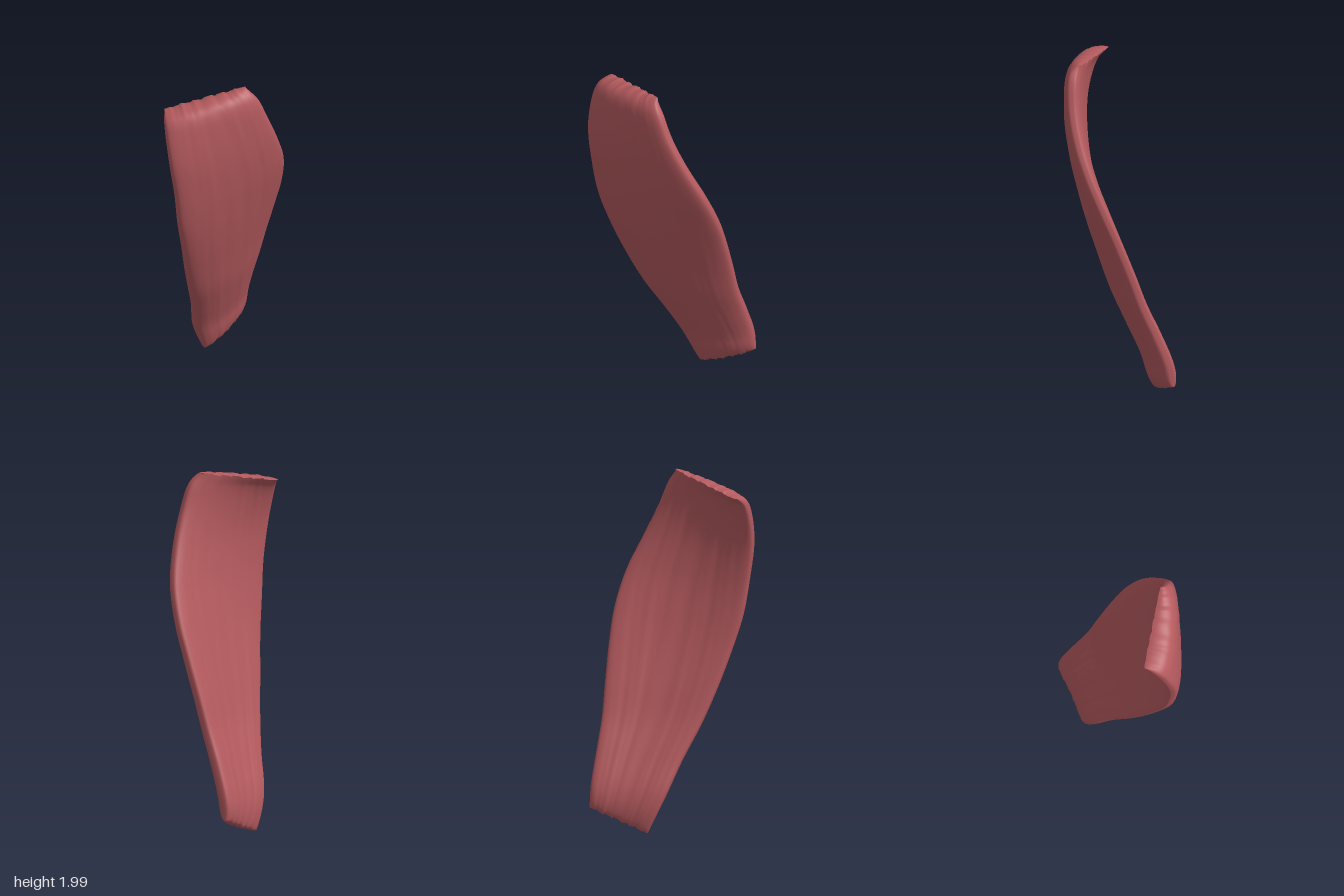
import * as THREE from 'three';

// Front and back edges of the strap, listed from the lower to the upper end
const frontEdge = [
  [-0.25, 0.0, -0.11], [-0.226, 0.2, -0.015], [-0.152, 0.4, 0.07], [-0.08, 0.6, 0.168],
  [-0.027, 0.8, 0.25], [0.018, 1.0, 0.32], [0.046, 1.2, 0.38], [0.056, 1.4, 0.413],
  [0.04, 1.62, 0.44], [0.0, 1.78, 0.432], [-0.033, 1.86, 0.412], [-0.063, 1.905, 0.38],
];
const backEdge = [
  [-0.268, 0.14, -0.435], [-0.245, 0.27, -0.43], [-0.18, 0.45, -0.41], [-0.108, 0.62, -0.392],
  [-0.046, 0.8, -0.385], [0.035, 1.02, -0.375], [0.105, 1.2, -0.357], [0.178, 1.4, -0.302],
  [0.225, 1.6, -0.207], [0.238, 1.78, -0.12], [0.225, 1.92, -0.06], [0.195, 2.0, 0.0],
];
const toCurve = (pts) => new THREE.CatmullRomCurve3(pts.map((p) => new THREE.Vector3(...p)));

// Shallow lengthwise fibres that drift across the faces
function fibre(u, t, inner) {
  const w = u + 0.12 * Math.sin(3 * t + 1);
  const a = Math.sin(17 * w + 4 * t) * 0.45 + Math.sin(37 * w - 5 * t + 1) * 0.35;
  return a * (inner ? 0.005 : 0.0022) * (1 - u * u);
}

function strapGeometry() {
  const front = toCurve(frontEdge), back = toCurve(backEdge);
  const rows = 90, sides = 112;
  const pos = [], idx = [];
  const mid = (t) => front.getPoint(t).add(back.getPoint(t)).multiplyScalar(0.5);

  for (let i = 0; i <= rows; i++) {
    // Rows crowd towards both ends, where the strap thins out
    const t = 0.5 - 0.5 * Math.cos((Math.PI * i) / rows);
    const c = mid(t);
    const half = back.getPoint(t).sub(c);
    const along = mid(Math.min(1, t + 0.01)).sub(mid(Math.max(0, t - 0.01))).normalize();
    const normal = half.clone().cross(along).normalize();
    const end = Math.min(1, Math.min(t / 0.07, (1 - t) / 0.14));
    const least = t > 0.5 ? 0.12 : 0.28;
    const thin = least + (1 - least) * Math.sqrt(end * (2 - end));
    const bow = 0.025 * Math.sin(Math.PI * Math.min(1, 0.12 + t * 0.88));
    // The outer face curls over towards the inner one at the upper end
    const curl = t > 0.5 ? 0.042 * (1 - thin) : 0;

    for (let j = 0; j < sides; j++) {
      const a = (j / sides) * Math.PI * 2;
      const s = Math.sin(a), k = Math.cos(a);
      const u = Math.sign(k) * Math.pow(Math.abs(k), 0.8);
      const side = Math.sign(s) * Math.pow(Math.abs(s), s > 0 ? 0.65 : 0.55);
      // The outer face is full, the inner one hollow between its rounded rims
      const swell = 0.012 * thin * (s > 0 ? 1 - u * u : Math.pow(1 - u * u, 2));
      const off = side * 0.054 * thin + bow * (1 - u * u) + swell - curl
        + fibre(u, t, s < 0) * Math.abs(s) * (0.4 + 0.6 * thin);
      const p = c.clone().addScaledVector(half, u).addScaledVector(normal, off);
      // Uneven torn edge at both ends
      const ragged = 0.005 * (Math.sin(u * 19) + 0.7 * Math.sin(u * 43 + 1) + 0.5 * Math.sin(u * 9)) * (1 - u * u);
      p.addScaledVector(along, ragged * (1 - end));
      pos.push(p.x, p.y, p.z);
    }
  }
  for (let i = 0; i < rows; i++) {
    for (let j = 0; j < sides; j++) {
      const k = (j + 1) % sides;
      const a = i * sides + j, b = i * sides + k;
      const d = a + sides, e = b + sides;
      idx.push(a, d, b, b, d, e);
    }
  }
  // Close the narrow ends by joining the inner face to the outer face
  const last = rows * sides;
  for (let j = 0; j < sides / 2; j++) {
    const a = j, b = j + 1, c = (sides - j) % sides, d = sides - j - 1;
    idx.push(a, b, d);
    idx.push(last + a, last + d, last + b);
    if (j > 0) {
      idx.push(a, d, c);
      idx.push(last + a, last + c, last + d);
    }
  }
  const g = new THREE.BufferGeometry();
  g.setAttribute('position', new THREE.Float32BufferAttribute(pos, 3));
  g.setIndex(idx);
  g.computeVertexNormals();
  return g;
}

export function createModel() {
  const group = new THREE.Group();
  group.name = 'muscle';
  const muscleRed = new THREE.MeshStandardMaterial({ color: 0xb45a5e });
  muscleRed.name = 'muscle red';
  const strap = new THREE.Mesh(strapGeometry(), muscleRed);
  strap.name = 'muscleStrap';
  group.add(strap);

  // Rest on the ground, centred
  const box = new THREE.Box3().setFromObject(strap, true);
  const c = box.getCenter(new THREE.Vector3());
  strap.position.set(-c.x, -box.min.y, -c.z);
  return group;
}
